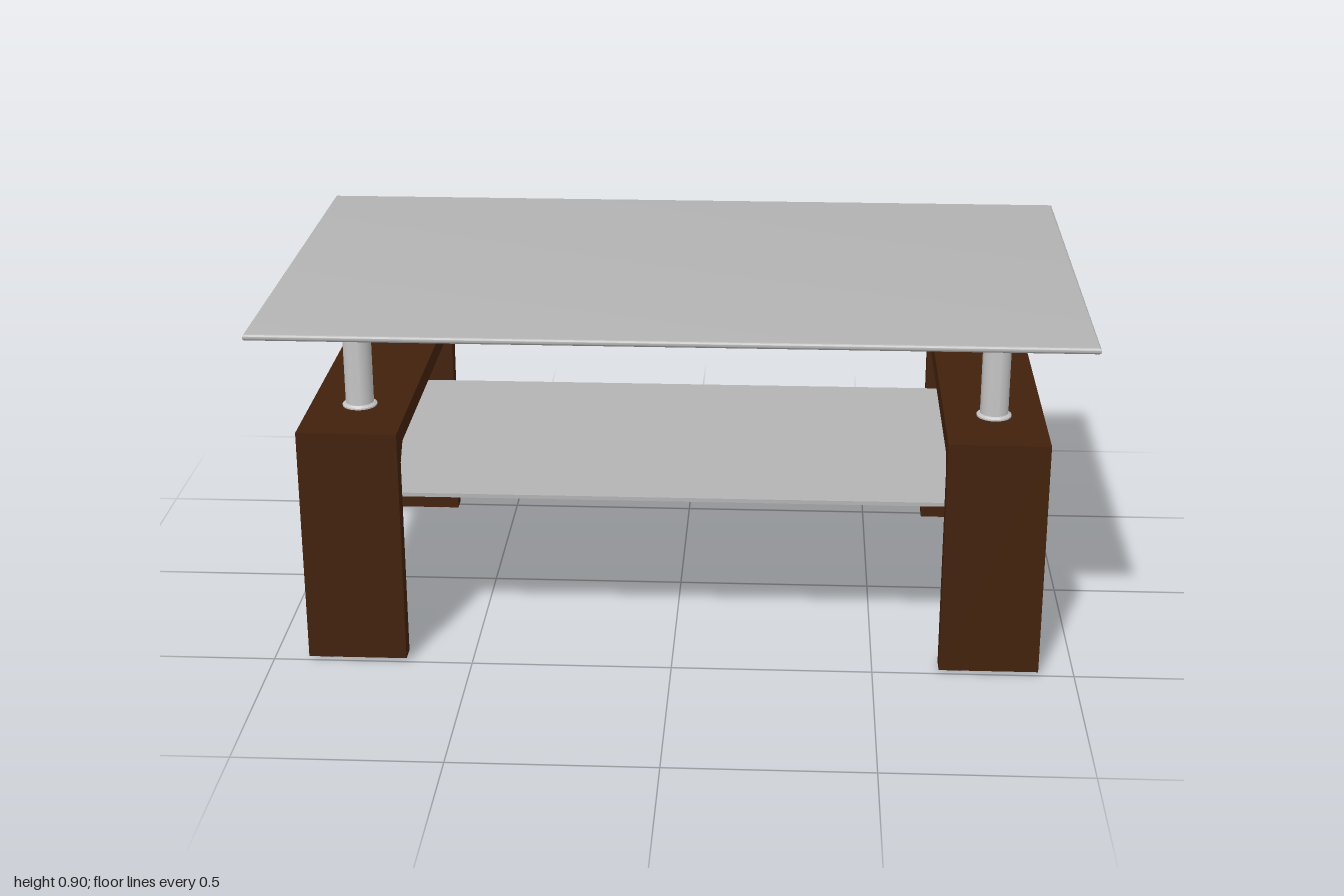
import * as THREE from 'three';
import { toCreasedNormals } from 'three/addons/utils/BufferGeometryUtils.js';

const wood = new THREE.MeshStandardMaterial({ color: 0x42210b });
wood.name = 'dark wood';
const glass = new THREE.MeshStandardMaterial({ color: 0xb3b3b3 });
glass.name = 'grey glass';
const metal = new THREE.MeshStandardMaterial({ color: 0xc4c4c4 });
metal.name = 'pale metal';

function add(parent, name, geometry, material, x = 0, y = 0, z = 0) {
  const mesh = new THREE.Mesh(geometry, material);
  mesh.name = name;
  mesh.position.set(x, y, z);
  parent.add(mesh);
  return mesh;
}

// Sheet with a fully rounded rim and square corners, standing on y = 0
function roundedSheet(width, depth, thickness) {
  const r = thickness / 2 - 0.001;
  const w = width / 2 - r, d = depth / 2 - r;
  const shape = new THREE.Shape([
    new THREE.Vector2(-w, -d), new THREE.Vector2(w, -d),
    new THREE.Vector2(w, d), new THREE.Vector2(-w, d),
  ]);
  const geometry = new THREE.ExtrudeGeometry(shape, {
    depth: 0.002, bevelThickness: r, bevelSize: r, bevelSegments: 5,
  });
  geometry.rotateX(-Math.PI / 2).translate(0, r, 0);
  return toCreasedNormals(geometry, 0.6);
}

// Turned part from [radius, height] pairs, with crisp edges
function turned(points, segments = 32) {
  const profile = points.map(([r, y]) => new THREE.Vector2(r, y));
  return toCreasedNormals(new THREE.LatheGeometry(profile, segments), 0.6);
}

// U-shaped leg frame with braced inner corners, extruded along x
function frameGeometry() {
  const half = [[0.5, 0.01], [0.5, 0.613]];
  const inner = [[0.415, 0.564], [0.453, 0.522], [0.453, 0.01]];
  const mirror = (list) => list.map(([z, y]) => [-z, y]).reverse();
  const outline = [...half, ...mirror(half), ...mirror(inner), ...inner];
  const shape = new THREE.Shape(outline.map(([z, y]) => new THREE.Vector2(z, y)));
  const geometry = new THREE.ExtrudeGeometry(shape, { depth: 0.246, bevelEnabled: false });
  return geometry.translate(0, 0, -0.123).rotateY(Math.PI / 2);
}

export function createModel() {
  const table = new THREE.Group();
  table.name = 'coffeeTable';

  add(table, 'tableTop', roundedSheet(2, 1.194, 0.016), glass, 0, 0.881, 0);
  add(table, 'lowerShelf', new THREE.BoxGeometry(1.8, 0.01, 0.806), glass, 0, 0.415, 0);

  const frame = frameGeometry();
  // Posts with stepped collars at both ends
  const upperPost = turned([
    [0, 0.613], [0.043, 0.613], [0.043, 0.617], [0.037, 0.622], [0.035, 0.622],
    [0.035, 0.866], [0.039, 0.866], [0.039, 0.877], [0.043, 0.879], [0.043, 0.881], [0, 0.881],
  ]);
  const lowerPost = turned([
    [0, 0.42], [0.043, 0.42], [0.043, 0.424], [0.037, 0.429], [0.035, 0.429],
    [0.035, 0.555], [0.037, 0.555], [0.043, 0.56], [0.043, 0.564], [0, 0.564],
  ]);
  const foot = turned([[0, 0], [0.008, 0.001], [0.012, 0.005], [0.013, 0.01], [0, 0.01]], 16);

  for (const side of [-1, 1]) {
    const end = new THREE.Group();
    end.name = side > 0 ? 'leftEnd' : 'rightEnd';
    end.position.x = side * 0.788;
    table.add(end);
    add(end, 'legFrame', frame, wood);
    for (const z of [-1, 1]) {
      add(end, 'upperPost', upperPost, metal, 0, 0, z * 0.298);
      add(end, 'lowerPost', lowerPost, metal, 0, 0, z * 0.298);
      for (const x of [-0.07, 0.07]) add(end, 'foot', foot, metal, x, 0, z * 0.477);
    }
  }
  return table;
}
